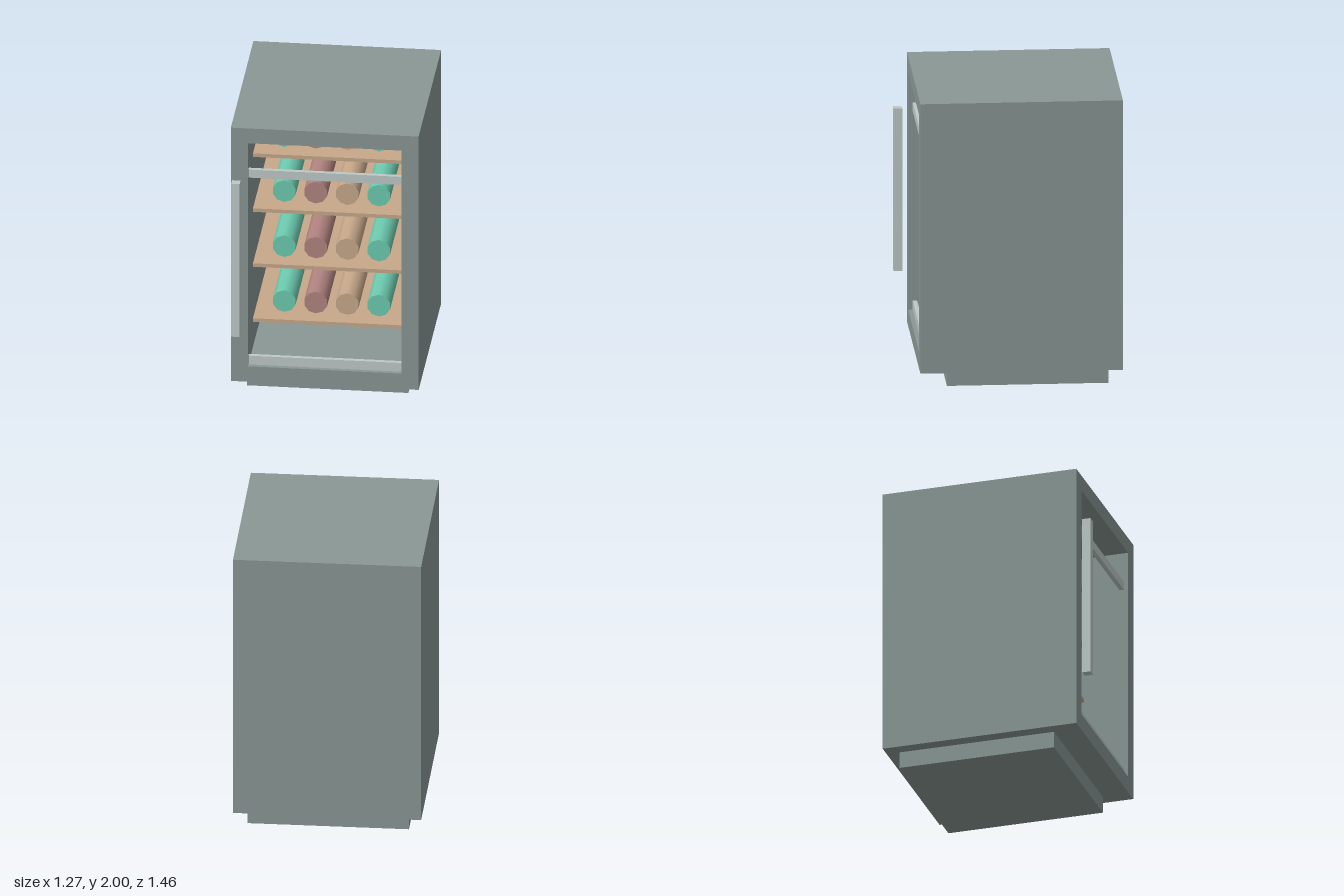
import * as THREE from 'three';

function material(name, color) {
  const m = new THREE.MeshStandardMaterial({ color });
  m.name = name;
  return m;
}

export function createModel() {
  const group = new THREE.Group();
  const casing = material('grey casing', 0x8a9895);
  const metal = material('pale metal', 0xbecac7);
  const wood = material('shelf wood', 0xc8a88a);
  const green = material('green glass', 0x6dcbb0);
  const red = material('red glass', 0xb28480);

  function add(name, geometry, mat) {
    const mesh = new THREE.Mesh(geometry, mat);
    mesh.name = name;
    group.add(mesh);
    return mesh;
  }

  // Box given by its limits on each axis
  function box(name, mat, x0, x1, y0, y1, z0, z1) {
    const mesh = add(name, new THREE.BoxGeometry(x1 - x0, y1 - y0, z1 - z0), mat);
    mesh.position.set((x0 + x1) / 2, (y0 + y1) / 2, (z0 + z1) / 2);
  }

  // Rectangular frame with an opening, extruded from z0 to z1
  function frame(name, z0, z1) {
    const rect = (path, x, y0, y1) =>
      path.moveTo(-x, y0).lineTo(x, y0).lineTo(x, y1).lineTo(-x, y1).closePath();
    const shape = new THREE.Shape();
    rect(shape, 0.635, 0.115, 2);
    const hole = new THREE.Path();
    rect(hole, 0.52, 0.23, 1.89);
    shape.holes.push(hole);
    const geometry = new THREE.ExtrudeGeometry(shape, { depth: z1 - z0, bevelEnabled: false });
    add(name, geometry.translate(0, 0, z0), casing);
  }

  // Cabinet shell, door frame and plinth
  frame('cabinetWalls', -0.62, 0.545);
  frame('doorFrame', 0.545, 0.635);
  box('backPanel', casing, -0.635, 0.635, 0.115, 2, -0.73, -0.62);
  box('plinth', casing, -0.545, 0.545, 0, 0.115, -0.64, 0.45);

  // Door rails and handle
  box('upperRail', metal, -0.52, 0.52, 1.62, 1.68, 0.575, 0.605);
  box('lowerRail', metal, -0.52, 0.52, 0.23, 0.295, 0.575, 0.605);
  box('handle', metal, -0.622, -0.565, 0.49, 1.627, 0.672, 0.73);

  // Four shelves, each carrying four lying bottles
  const bottle = new THREE.CylinderGeometry(0.08, 0.08, 0.635, 10).rotateX(Math.PI / 2);
  const colours = [green, red, wood, green];
  for (let row = 0; row < 4; row++) {
    const y = 0.415 + row * 0.409;
    box('shelf', wood, -0.52, 0.52, y, y + 0.026, -0.51, 0.325);
    colours.forEach((mat, i) => {
      add('bottle', bottle, mat).position.set((i - 1.5) * 0.213, y + 0.117, -0.0925);
    });
  }
  return group;
}
